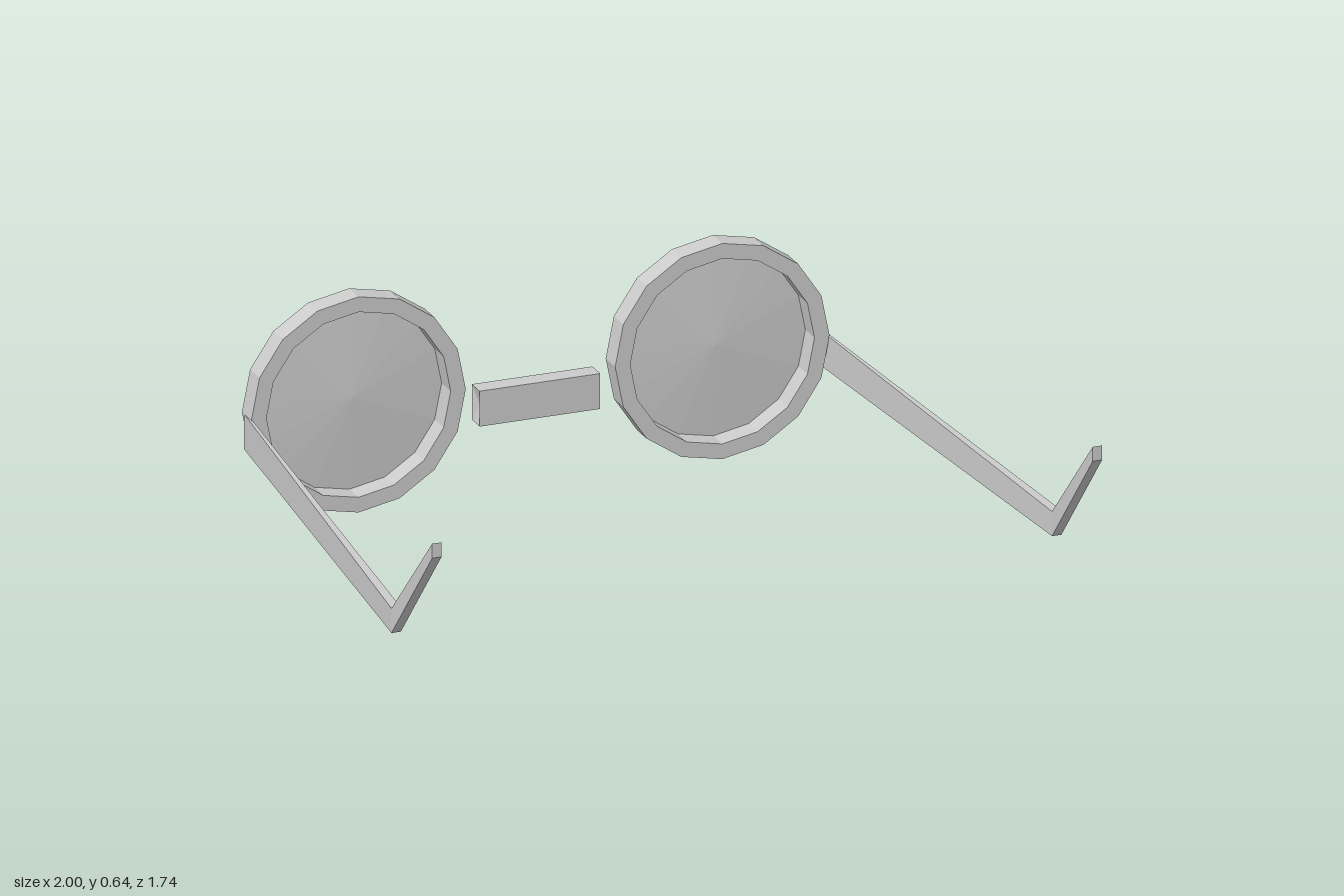
import * as THREE from 'three';

const material = new THREE.MeshStandardMaterial({ color: 0xcccccc, flatShading: true });
const lensMaterial = new THREE.MeshStandardMaterial({ color: 0xcccccc, flatShading: true, side: THREE.DoubleSide });

const BACK = -0.87, FRONT = -0.80, SIDES = 16;

function add(group, name, geometry, mat = material) {
  const mesh = new THREE.Mesh(geometry, mat);
  mesh.name = name;
  group.add(mesh);
  return mesh;
}

// Rectangular bar lofted through sections [z, xInner, xOuter, yBottom, yTop]
function loftBar(sections, side) {
  const positions = [], index = [];
  for (const [z, xi, xo, yb, yt] of sections) {
    for (const [x, y] of [[xi, yb], [xo, yb], [xo, yt], [xi, yt]]) positions.push(x * side, y, z);
  }
  const quad = (a, b, c, d) => index.push(...(side > 0 ? [a, b, c, a, c, d] : [a, c, b, a, d, c]));
  for (let s = 0; s < sections.length - 1; s++) {
    for (let k = 0; k < 4; k++) {
      const a = s * 4 + k, b = s * 4 + (k + 1) % 4;
      quad(a, b, b + 4, a + 4);
    }
  }
  const e = (sections.length - 1) * 4;
  quad(3, 2, 1, 0);
  quad(e, e + 1, e + 2, e + 3);
  const indexed = new THREE.BufferGeometry();
  indexed.setAttribute('position', new THREE.Float32BufferAttribute(positions, 3));
  indexed.setIndex(index);
  const geometry = indexed.toNonIndexed();
  geometry.computeVertexNormals();
  return geometry;
}

// Square rod along x whose end caps dip slightly towards the middle
function bridgeGeometry(length, height, depth) {
  const g = new THREE.CylinderGeometry(Math.SQRT1_2, Math.SQRT1_2, length, 4, 1, false, Math.PI / 4);
  const p = g.attributes.position;
  for (let i = 0; i < p.count; i++) {
    if (Math.hypot(p.getX(i), p.getZ(i)) < 1e-6) p.setY(i, p.getY(i) * 0.93);
  }
  g.scale(height, 1, depth).rotateZ(Math.PI / 2);
  g.computeVertexNormals();
  return g;
}

export function createModel() {
  const model = new THREE.Group();
  model.name = 'glasses';

  // Rim cross-section, spun around the lens axis
  const rimProfile = [[0.32, BACK], [0.32, FRONT], [0.275, FRONT], [0.275, BACK], [0.32, BACK]]
    .map(([r, y]) => new THREE.Vector2(r, y));

  // Arm sections: hinge, bend over the ear, tip
  const armSections = [
    [-0.855, 0.855, 0.863, 0.22, 0.325],
    [0.57, 0.972, 1.0, 0.207, 0.28],
    [0.87, 0.972, 1.0, 0.537, 0.58],
  ];

  for (const side of [1, -1]) {
    const label = side > 0 ? 'left' : 'right';

    const rim = add(model, label + 'Rim', new THREE.LatheGeometry(rimProfile, SIDES).rotateX(Math.PI / 2));
    rim.position.set(side * 0.543, 0.325, 0);

    // Shallow dished lens set at the outer face of the rim
    const dish = 0.015;
    const lens = add(model, label + 'Lens',
      new THREE.ConeGeometry(0.275, dish, SIDES, 1, true).rotateX(Math.PI / 2), lensMaterial);
    lens.position.set(side * 0.543, 0.325, BACK + 0.003 + dish / 2);

    add(model, label + 'Arm', loftBar(armSections, side));
  }

  const bridge = add(model, 'bridge', bridgeGeometry(0.36, 0.105, 0.058));
  bridge.position.set(0, 0.258, -0.833);

  return model;
}
